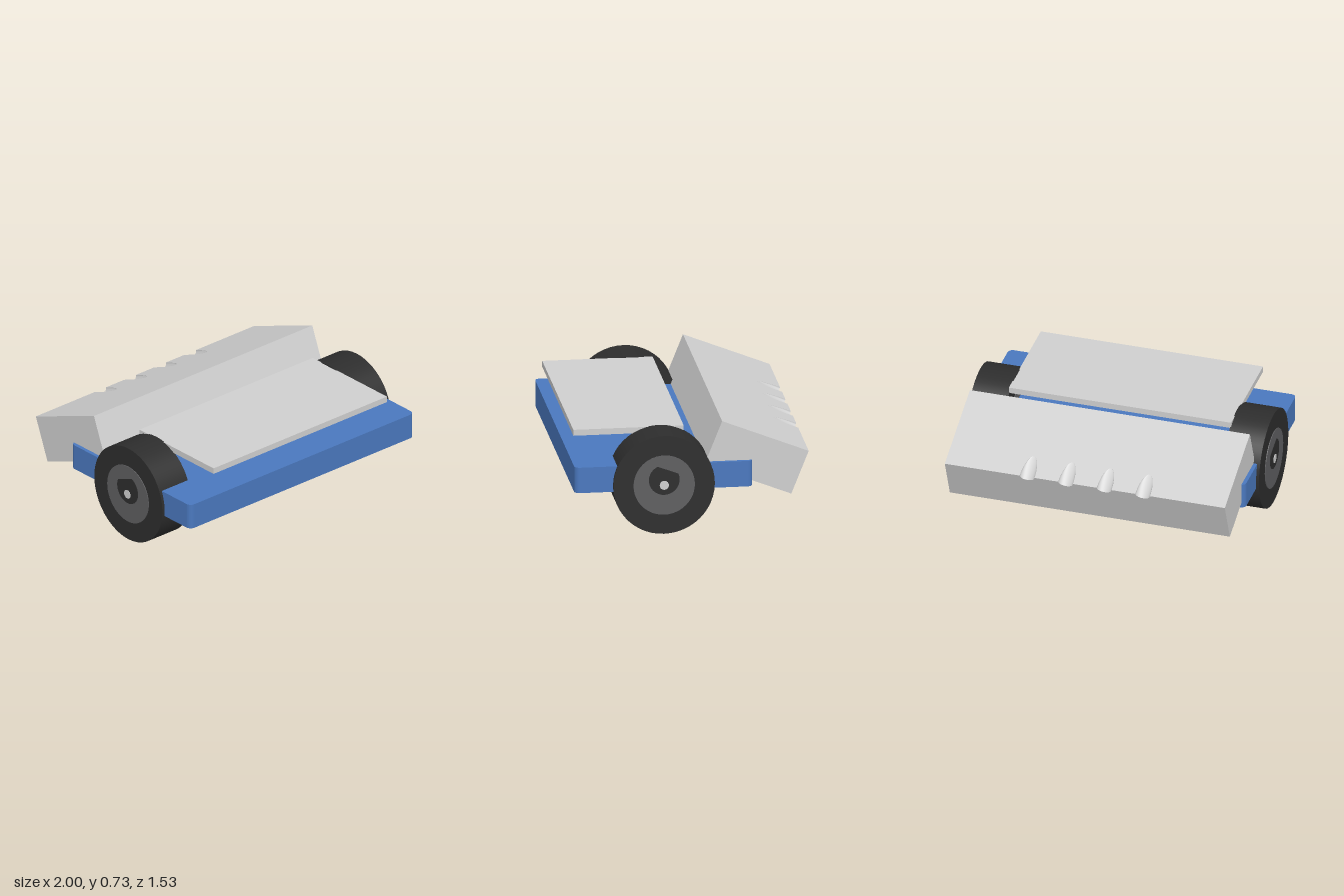
import * as THREE from 'three';
import { ParametricGeometry } from 'three/addons/geometries/ParametricGeometry.js';

export function createModel() {
  const model = new THREE.Group();
  const mat = (name, color, side = THREE.FrontSide) => {
    const m = new THREE.MeshStandardMaterial({ color, side });
    m.name = name;
    return m;
  };
  const blue = mat('blue', 0x4a78be);
  const grey = mat('light grey', 0xcfcfcf, THREE.DoubleSide);
  const black = mat('rubber black', 0x2d2d2d);
  const hubGrey = mat('hub grey', 0x5e5e60);

  const add = (parent, name, geometry, material, x = 0, y = 0, z = 0) => {
    const mesh = new THREE.Mesh(geometry, material);
    mesh.name = name;
    mesh.position.set(x, y, z);
    parent.add(mesh);
    return mesh;
  };

  // Chassis: slab with rounded vertical corners
  const w = 0.97, back = -0.395, front = 0.765, r = 0.035;
  const slab = new THREE.Shape();
  slab.absarc(w - r, -back - r, r, 0, Math.PI / 2);
  slab.absarc(-w + r, -back - r, r, Math.PI / 2, Math.PI);
  slab.absarc(-w + r, -front + r, r, Math.PI, Math.PI * 1.5);
  slab.absarc(w - r, -front + r, r, Math.PI * 1.5, Math.PI * 2);
  const slabGeo = new THREE.ExtrudeGeometry(slab, { depth: 0.172, bevelEnabled: false, curveSegments: 6 });
  slabGeo.rotateX(-Math.PI / 2);
  add(model, 'chassis', slabGeo, blue, 0, 0.294, 0);

  // Flat top plate
  add(model, 'topPlate', new THREE.BoxGeometry(1.5, 0.04, 0.72), grey, 0, 0.635, 0.385);

  // Small studs on the chassis under the plate
  for (let i = 0; i < 4; i++) {
    add(model, 'stud', new THREE.CylinderGeometry(0.03, 0.03, 0.02, 16), black, -0.168 + i * 0.112, 0.47, 0.3);
  }

  // Wheels, each with a hub, flat-sided motor and axle pin
  const motorShape = new THREE.Shape();
  motorShape.absarc(0, 0.035, 0.1, THREE.MathUtils.degToRad(115), THREE.MathUtils.degToRad(384), false);
  motorShape.closePath();
  const motorGeo = new THREE.ExtrudeGeometry(motorShape, { depth: 0.616, bevelEnabled: false, curveSegments: 24 });
  motorGeo.translate(0, 0, -0.308).rotateY(Math.PI / 2);
  const disc = (radius, width) => new THREE.CylinderGeometry(radius, radius, width, 48).rotateZ(Math.PI / 2);
  for (const side of [1, -1]) {
    const wheel = new THREE.Group();
    wheel.name = side > 0 ? 'leftWheel' : 'rightWheel';
    wheel.position.set(0, 0.333, 0.185);
    add(wheel, 'tire', disc(0.331, 0.245), black, side * 0.867);
    add(wheel, 'hub', disc(0.2, 0.255), hubGrey, side * 0.867);
    add(wheel, 'motor', motorGeo, black, side * 0.689);
    add(wheel, 'axlePin', disc(0.03, 0.1), grey, side * 0.95);
    model.add(wheel);
  }

  // Tilted rear block with four scooped grooves on its upper back edge
  const W = 0.945, H = 0.1535, L = 0.304;
  const grooveX = [0.39, 0.13, -0.13, -0.39];
  const grooveR = 0.05, grooveLen = 0.168, grooveDepth = 0.035;
  const block = new THREE.Group();
  block.name = 'rearBlock';
  block.position.set(0, 0.48, -0.425);
  block.rotation.x = -0.379;
  model.add(block);

  const notchedFace = (halfHeight, depth) => {
    const s = new THREE.Shape();
    s.moveTo(-W, -halfHeight);
    s.lineTo(W, -halfHeight);
    s.lineTo(W, halfHeight);
    for (const x of grooveX) {
      for (let i = 0; i <= 20; i++) {
        const a = Math.PI * i / 20;
        s.lineTo(x + grooveR * Math.cos(a), halfHeight - depth * Math.sin(a));
      }
    }
    s.lineTo(-W, halfHeight);
    return new THREE.ShapeGeometry(s);
  };
  add(block, 'blockTop', notchedFace(L, grooveLen).rotateX(-Math.PI / 2), grey, 0, H, 0);
  add(block, 'blockBack', notchedFace(H, grooveDepth).rotateY(Math.PI), grey, 0, 0, -L);
  add(block, 'blockFront', new THREE.PlaneGeometry(2 * W, 2 * H), grey, 0, 0, L);
  add(block, 'blockBottom', new THREE.PlaneGeometry(2 * W, 2 * L).rotateX(Math.PI / 2), grey, 0, -H, 0);
  for (const side of [1, -1]) {
    add(block, 'blockEnd', new THREE.PlaneGeometry(2 * L, 2 * H).rotateY(side * Math.PI / 2), grey, side * W, 0, 0);
  }

  // Groove surfaces: arcs that narrow and rise towards the front
  const grooveGeo = new ParametricGeometry((u, v, p) => {
    const a = Math.PI * u, b = v * Math.PI / 2, t = Math.sin(b);
    p.set(
      grooveR * Math.cos(b) * Math.cos(a),
      -grooveDepth * (1 - t) * Math.sin(a),
      grooveLen * t
    );
    // follow the rounded outline on the top face
  }, 20, 10);
  for (const x of grooveX) add(block, 'groove', grooveGeo, grey, x, H, -L);

  return model;
}
